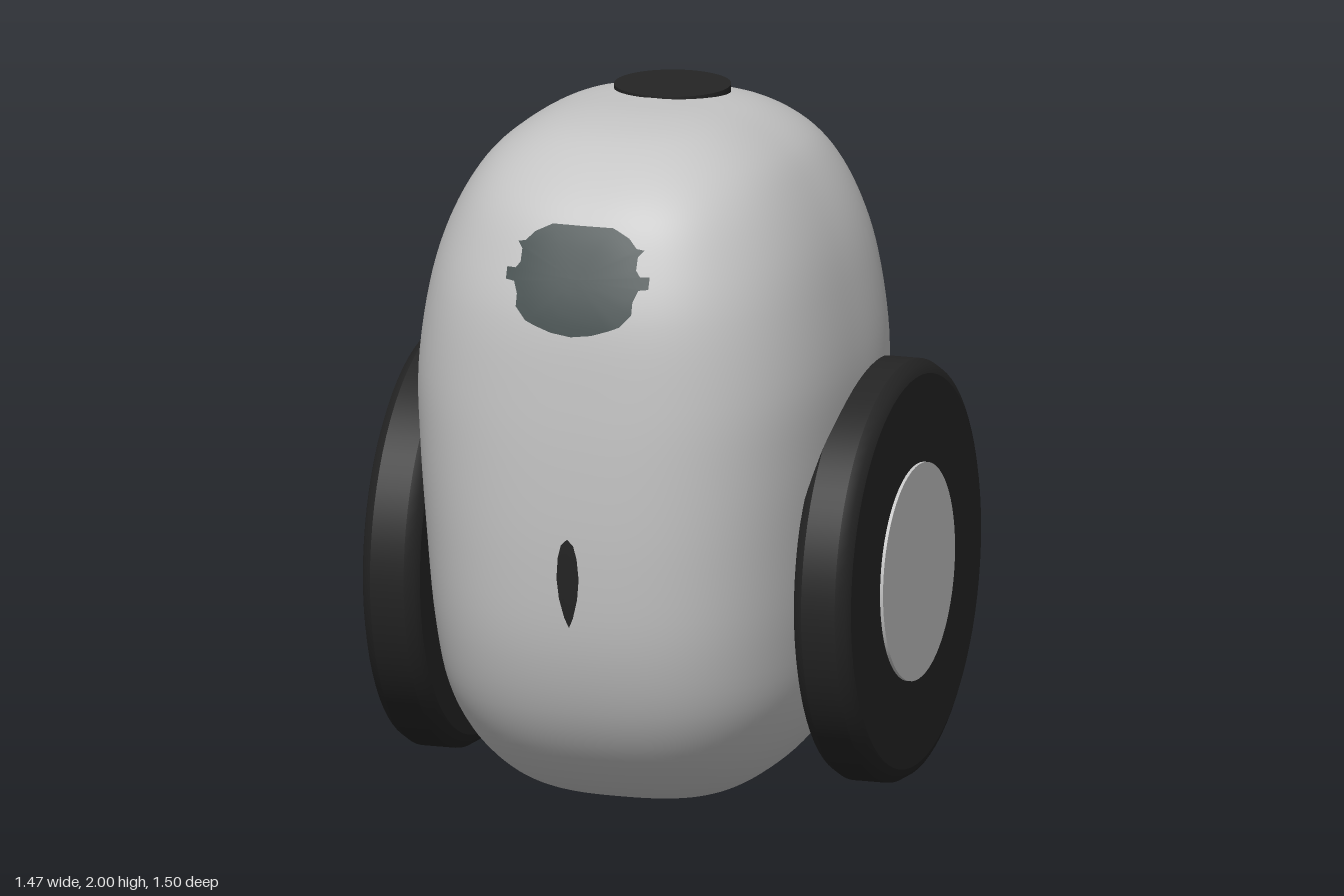
import * as THREE from 'three';

const shellMat = new THREE.MeshStandardMaterial({ color: 0xc4c4c4 });
shellMat.name = 'light grey shell';
const blackMat = new THREE.MeshStandardMaterial({ color: 0x242424 });
blackMat.name = 'black rubber';
const lensMat = new THREE.MeshStandardMaterial({ color: 0x465050 });
lensMat.name = 'slate lens';

// Body profile from bottom to top: half width (x), height (y), half depth (z)
const PROFILE = new THREE.CatmullRomCurve3([
  [0, 0.005, 0], [0.2, 0.018, 0.2], [0.32, 0.065, 0.37], [0.4, 0.13, 0.48],
  [0.475, 0.23, 0.58], [0.53, 0.36, 0.655], [0.56, 0.55, 0.712], [0.582, 0.8, 0.738],
  [0.602, 1.05, 0.742], [0.61, 1.27, 0.733], [0.58, 1.5, 0.708], [0.54, 1.65, 0.66],
  [0.48, 1.78, 0.595], [0.41, 1.875, 0.5], [0.3, 1.95, 0.37], [0.18, 1.985, 0.21],
  [0, 1.995, 0],
].map((p) => new THREE.Vector3(...p))).getPoints(80);
const POWER = 2.7;
const BACK = -0.65;

// Closed skin of rounded-square rings, cut flat at the back
function bodyGeometry() {
  const seg = 128, pos = [], index = [];
  PROFILE.forEach(({ x: hx, y, z: hz }, j) => {
    for (let i = 0; i < seg; i++) {
      const a = (i / seg) * Math.PI * 2, c = Math.cos(a), s = Math.sin(a);
      const r = (Math.abs(c) ** POWER + Math.abs(s) ** POWER) ** (-1 / POWER);
      let x = hx * r * c, z = hz * r * s;
      if (z < BACK) {
        x *= BACK / z;
        z = BACK;
      }
      pos.push(x, y, z);
      if (j < PROFILE.length - 1) {
        const k = (i + 1) % seg, p = j * seg + i, q = j * seg + k;
        index.push(p, p + seg, q, q, p + seg, q + seg);
      }
    }
  });
  const g = new THREE.BufferGeometry();
  g.setAttribute('position', new THREE.Float32BufferAttribute(pos, 3));
  g.setIndex(index);
  g.computeVertexNormals();
  return g;
}

// Depth of the front surface at a given x and y
function frontZ(x, y) {
  const k = Math.max(1, PROFILE.findIndex((p) => p.y >= y));
  const a = PROFILE[k - 1], b = PROFILE[k];
  const p = a.clone().lerp(b, (y - a.y) / (b.y - a.y));
  return p.z * (1 - Math.abs(x / p.x) ** POWER) ** (1 / POWER);
}

// Thin plate following the front: right half outline from top to bottom, mirrored
function frontPatch(half, cy, lift) {
  const left = half.filter((p) => p[0] > 0).reverse().map(([x, y]) => [-x, y]);
  const outline = [...half, ...left];
  const n = outline.length, rings = 8, pos = [], index = [];
  for (let j = 0; j <= rings; j++) {
    outline.forEach(([ox, oy], i) => {
      const t = j / rings, x = ox * t, y = cy + (oy - cy) * t;
      pos.push(x, y, frontZ(x, y) + lift);
      if (j < rings) {
        const k = (i + 1) % n, p = j * n + i, q = j * n + k;
        index.push(p, q, p + n, q, q + n, p + n);
      }
    });
  }
  const g = new THREE.BufferGeometry();
  g.setAttribute('position', new THREE.Float32BufferAttribute(pos, 3));
  // outline runs clockwise seen from the front, so reverse each triangle
  for (let i = 0; i < index.length; i += 3) {
    const [a, b, c] = index.slice(i, i + 3);
    const P = (m) => new THREE.Vector3().fromArray(pos, m * 3);
    const nz = P(b).sub(P(a)).cross(P(c).sub(P(a))).z;
    if (nz < 0) [index[i + 1], index[i + 2]] = [c, b];
  }
  g.setIndex(index);
  g.computeVertexNormals();
  return g;
}

export function createModel() {
  const model = new THREE.Group();
  model.name = 'wheeledRobot';
  const add = (parent, name, geometry, material) => {
    const mesh = new THREE.Mesh(geometry, material);
    mesh.name = name;
    parent.add(mesh);
    return mesh;
  };

  add(model, 'body', bodyGeometry(), shellMat);

  // Dark lens with small side tabs
  add(model, 'faceLens', frontPatch([
    [0, 1.762], [0.09, 1.762], [0.14, 1.738], [0.165, 1.712], [0.188, 1.708], [0.172, 1.69],
    [0.172, 1.655], [0.185, 1.638], [0.212, 1.638], [0.212, 1.605], [0.185, 1.602],
    [0.172, 1.57], [0.172, 1.535], [0.14, 1.5], [0.11, 1.488], [0.06, 1.472], [0, 1.464],
  ], 1.62, 0.004), lensMat);

  // Narrow slit low on the front
  add(model, 'frontSlit', frontPatch([
    [0, 0.885], [0.018, 0.868], [0.028, 0.83], [0.033, 0.77], [0.027, 0.71], [0.013, 0.655],
    [0, 0.625],
  ], 0.77, 0.008), blackMat);

  // Round button on top
  const button = add(model, 'topButton', new THREE.CylinderGeometry(0.165, 0.165, 0.03, 64), blackMat);
  button.position.set(0, 1.985, -0.16);

  // Wheels: rounded tyre with a flat hub disc
  const tyre = [
    [0, -0.085], [0.56, -0.085], [0.56, -0.085], [0.585, -0.075], [0.6, -0.05], [0.6, -0.05],
    [0.6, 0.05], [0.6, 0.05], [0.585, 0.075], [0.56, 0.085], [0.56, 0.085], [0, 0.085],
  ].map((p) => new THREE.Vector2(...p));
  for (const [side, sign] of [['left', 1], ['right', -1]]) {
    const wheel = new THREE.Group();
    wheel.name = side + 'Wheel';
    wheel.position.set(sign * 0.642, 0.645, -0.155);
    wheel.rotation.z = -sign * Math.PI / 2;
    add(wheel, side + 'Tyre', new THREE.LatheGeometry(tyre, 72), blackMat);
    const hub = add(wheel, side + 'Hub', new THREE.CylinderGeometry(0.31, 0.31, 0.03, 64), shellMat);
    hub.position.y = 0.079;
    model.add(wheel);
  }
  return model;
}
